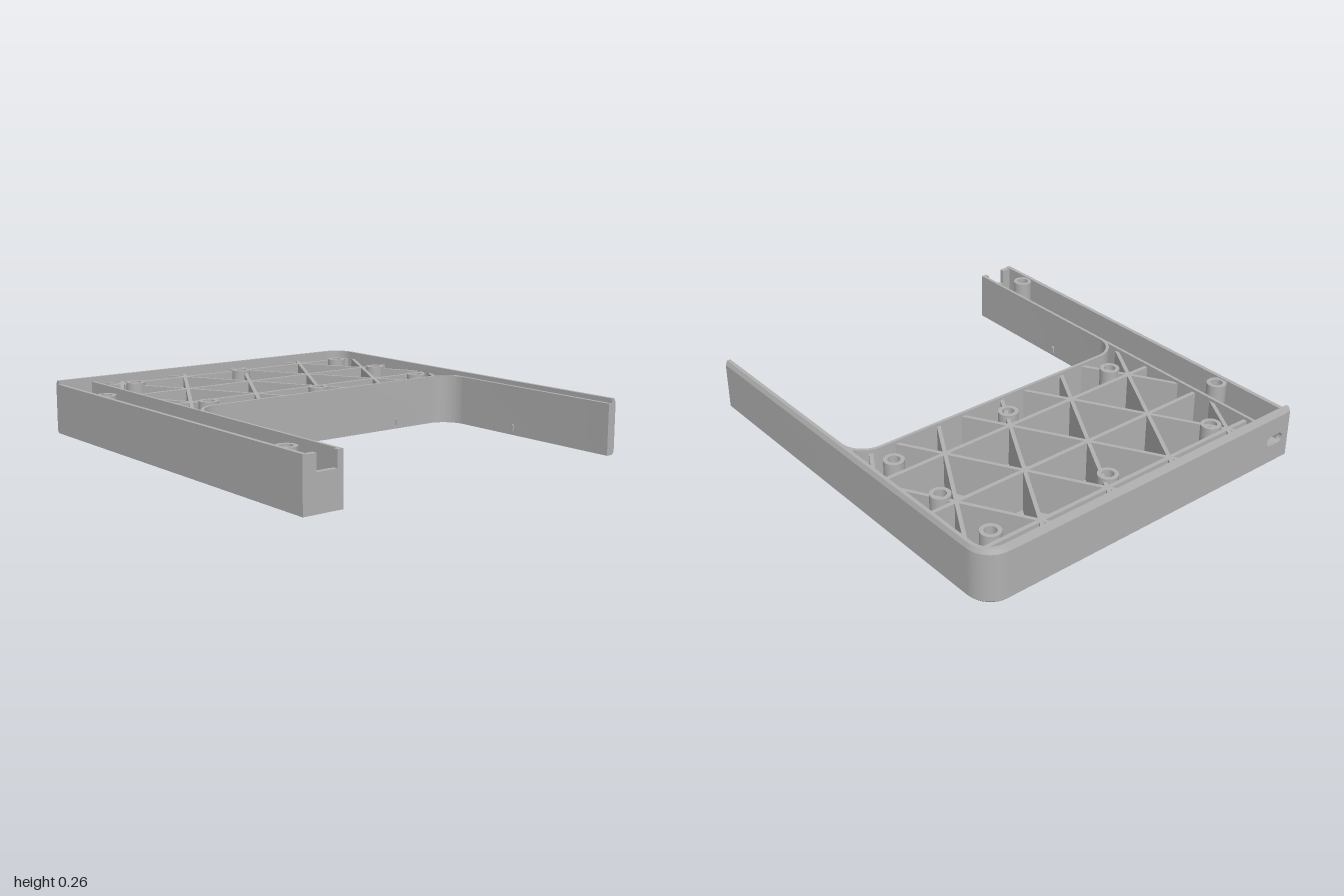
import * as THREE from 'three';
import { toCreasedNormals } from 'three/addons/utils/BufferGeometryUtils.js';

const PI = Math.PI;

export function createModel() {
  const model = new THREE.Group();
  model.name = 'bracketTray';
  const grey = new THREE.MeshStandardMaterial({ color: 0xb0b0b0 });
  grey.name = 'plain grey';

  const add = (geometry, name, parent = model) => {
    const mesh = new THREE.Mesh(geometry, grey);
    mesh.name = name;
    parent.add(mesh);
    return mesh;
  };
  const box = (name, x0, x1, y0, y1, z0, z1, parent) =>
    add(new THREE.BoxGeometry(x1 - x0, y1 - y0, z1 - z0), name, parent)
      .position.set((x0 + x1) / 2, (y0 + y1) / 2, (z0 + z1) / 2);

  // Plan shapes are drawn in (x, z) and extruded from y0 to y1
  const planGeometry = (shape, y0, y1) =>
    new THREE.ExtrudeGeometry(shape, { depth: y1 - y0, bevelEnabled: false, curveSegments: 12 })
      .rotateX(PI / 2).translate(0, y1, 0);
  const plan = (name, shape, y0, y1, parent) =>
    add(toCreasedNormals(planGeometry(shape, y0, y1), 0.5), name, parent);
  // End shapes are drawn in (z, y) and extruded from x0 to x1
  const end = (name, shape, x0, x1) =>
    add(toCreasedNormals(new THREE.ExtrudeGeometry(shape, { depth: x1 - x0, bevelEnabled: false })
      .rotateY(-PI / 2).translate(x1, 0, 0), 0.5), name);

  // Chamfers the left and back outer edge at one height
  const chamfer = (geometry, level, inset) => {
    const p = geometry.attributes.position;
    for (let i = 0; i < p.count; i++) {
      if (Math.abs(p.getY(i) - level) > 1e-4) continue;
      let x = p.getX(i), z = p.getZ(i);
      const dx = x + 0.88, dz = z + 0.765, d = Math.hypot(dx, dz), r = 0.12 - inset;
      if (dx < 0 && dz < 0) {
        if (d > r) { x = -0.88 + dx * r / d; z = -0.765 + dz * r / d; }
      } else {
        x = Math.max(x, -1 + inset);
        z = Math.max(z, -0.885 + inset);
      }
      p.setXYZ(i, x, p.getY(i), z);
    }
    return toCreasedNormals(geometry, 0.5);
  };

  // U-shaped outline, with one rounded outer corner
  const uShape = (front) => {
    const s = new THREE.Shape();
    s.moveTo(-1, front);
    s.lineTo(-1, -0.765);
    s.absarc(-0.88, -0.765, 0.12, PI, 1.5 * PI, false);
    s.lineTo(1, -0.885);
    s.lineTo(1, -0.84);
    s.lineTo(0.06, -0.84);
    s.absarc(0.06, -0.72, 0.12, 1.5 * PI, PI, true);
    s.lineTo(-0.06, 0.57);
    s.absarc(0.06, 0.57, 0.12, PI, PI / 2, true);
    s.lineTo(1, 0.69);
    s.lineTo(1, front);
    s.closePath();
    return s;
  };

  // Floor
  add(chamfer(planGeometry(uShape(0.885), 0, 0.012), 0, 0.012), 'floorEdge');
  plan('floor', uShape(0.885), 0.012, 0.03);

  // Tray walls and back arm around the ribbed pocket
  const walls = uShape(0.705);
  const pocket = new THREE.Path();
  pocket.moveTo(-0.975, 0.69);
  pocket.lineTo(-0.975, -0.765);
  pocket.absarc(-0.88, -0.765, 0.095, PI, 1.5 * PI, false);
  pocket.lineTo(-0.02, -0.86);
  pocket.absarc(0.06, -0.72, 0.135, -2.204, -PI, true);
  pocket.absarc(0.06, 0.57, 0.135, PI, 2.047, true);
  pocket.closePath();
  walls.holes.push(pocket);
  plan('trayWalls', walls, 0.03, 0.24);

  // Raised lip along the left and back
  const lip = new THREE.Shape();
  lip.moveTo(-1, 0.885);
  lip.lineTo(-1, -0.765);
  lip.absarc(-0.88, -0.765, 0.12, PI, 1.5 * PI, false);
  lip.lineTo(1, -0.885);
  lip.lineTo(1, -0.858);
  lip.lineTo(-0.88, -0.858);
  lip.absarc(-0.88, -0.765, 0.093, 1.5 * PI, PI, true);
  lip.lineTo(-0.973, 0.885);
  lip.closePath();
  add(chamfer(planGeometry(lip, 0.24, 0.262), 0.262, 0.01), 'raisedLip');

  // Front arm: outer wall, notched end cap and port panel
  box('frontWall', -1, 1, 0.03, 0.243, 0.865, 0.885);
  const cap = new THREE.Shape([
    [0.705, 0.03], [0.865, 0.03], [0.865, 0.24], [0.82, 0.24],
    [0.82, 0.165], [0.72, 0.165], [0.72, 0.24], [0.705, 0.24],
  ].map(([z, y]) => new THREE.Vector2(z, y)));
  end('notchedEndCap', cap, 0.975, 1);
  const panel = new THREE.Shape([
    [0.705, 0.03], [0.865, 0.03], [0.865, 0.24], [0.705, 0.24],
  ].map(([z, y]) => new THREE.Vector2(z, y)));
  const port = new THREE.Path();
  port.absarc(0.77, 0.125, 0.025, PI / 2, 1.5 * PI, false);
  port.absarc(0.82, 0.125, 0.025, -PI / 2, PI / 2, false);
  port.closePath();
  panel.holes.push(port);
  end('portPanel', panel, -1, -0.975);
  box('portShelf', -0.975, -0.77, 0.03, 0.08, 0.705, 0.865);

  // Triangular rib grid
  const ribs = new THREE.Group();
  ribs.name = 'ribs';
  model.add(ribs);
  const L = -0.98, R = -0.068, B = -0.865, F = 0.695, pitch = 0.366, slope = 0.577;
  for (const x of [-0.905, -0.587, -0.27]) box('straightRib', x - 0.01, x + 0.01, 0.03, 0.225, B, F, ribs);
  for (const m of [slope, -slope]) {
    for (let k = -4; k < 8; k++) {
      const z0 = -0.525 + pitch * k;
      const xs = [B, F].map((z) => -0.905 + (z - z0) / m).sort((a, b) => a - b);
      const xa = Math.max(L, xs[0]), xb = Math.min(R, xs[1]);
      if (xb - xa < 0.04) continue;
      const zMid = z0 + m * ((xa + xb) / 2 + 0.905);
      const rib = add(new THREE.BoxGeometry((xb - xa) * Math.hypot(1, m), 0.195, 0.018), 'diagonalRib', ribs);
      rib.position.set((xa + xb) / 2, 0.1275, zMid);
      rib.rotation.y = -Math.atan(m);
    }
  }

  // Screw bosses
  const boss = new THREE.Shape();
  boss.absarc(0, 0, 0.047, 0, 2 * PI, false);
  const bore = new THREE.Path();
  bore.absarc(0, 0, 0.028, 0, 2 * PI, true);
  boss.holes.push(bore);
  for (const [x, z] of [
    [-0.845, -0.735], [-0.515, -0.735], [-0.185, -0.735], [-0.845, -0.1], [-0.185, -0.1],
    [-0.845, 0.53], [-0.185, 0.53], [-0.605, 0.825], [0.815, 0.825],
  ]) plan('screwBoss', boss, 0.03, 0.238).position.set(x, 0, z);

  // Small round-topped catches on the inner faces
  const catchShape = new THREE.Shape();
  catchShape.moveTo(-0.01, 0.02);
  catchShape.lineTo(0.01, 0.02);
  catchShape.lineTo(0.01, 0.045);
  catchShape.absarc(0, 0.045, 0.01, 0, PI, false);
  catchShape.closePath();
  const catchGeometry = new THREE.ExtrudeGeometry(catchShape, { depth: 0.012, bevelEnabled: false });
  for (const [x, z, turn] of [
    [-0.065, 0.36, PI / 2], [-0.065, -0.5, PI / 2], [0.405, 0.695, PI], [0.405, -0.845, 0],
  ]) {
    const c = add(catchGeometry, 'catch');
    c.position.set(x, 0, z);
    c.rotation.y = turn;
  }
  return model;
}
